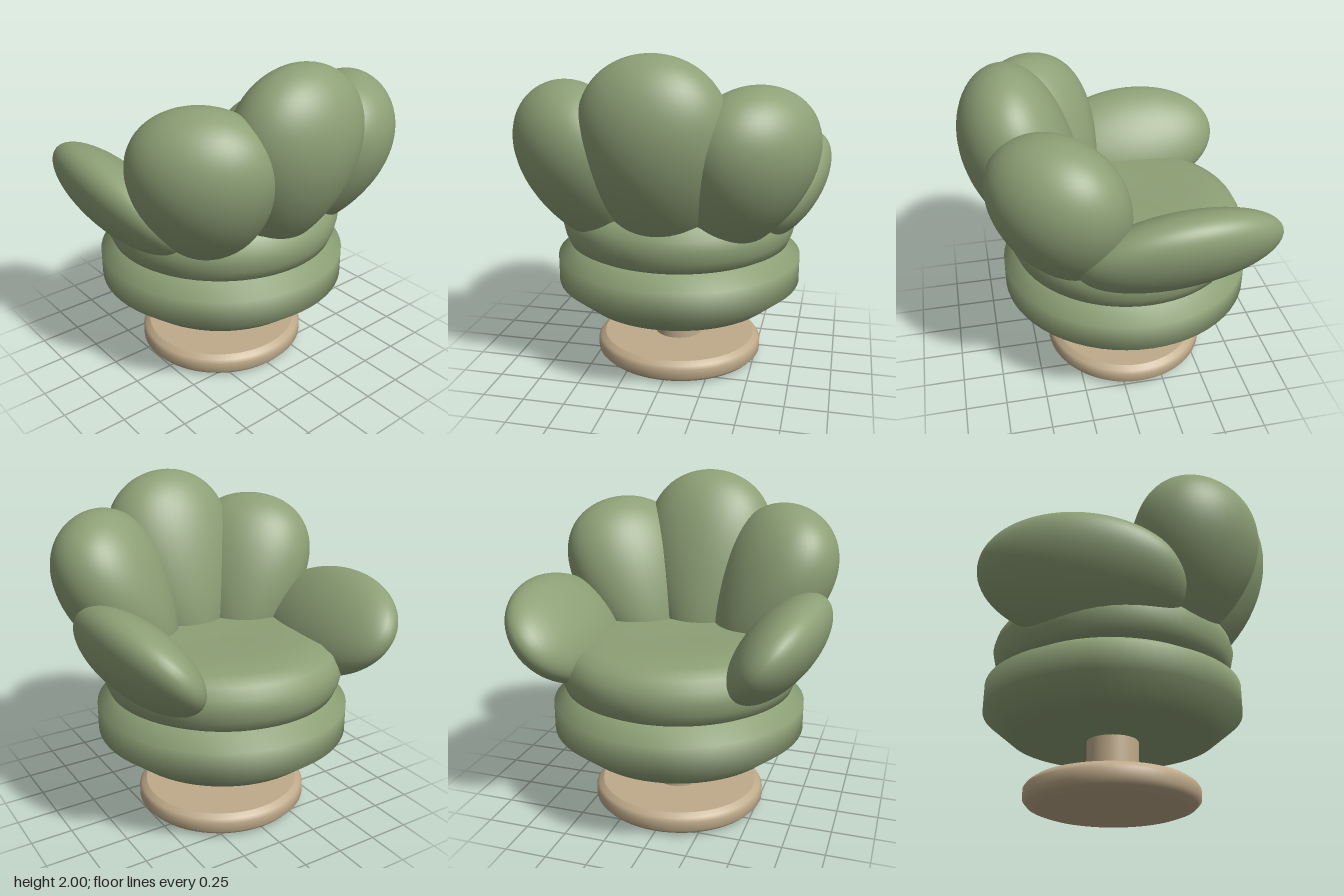
import * as THREE from 'three';
import { mergeVertices } from 'three/addons/utils/BufferGeometryUtils.js';

const fabric = new THREE.MeshStandardMaterial({ color: 0x8da076 });
fabric.name = 'sage green fabric';
const wood = new THREE.MeshStandardMaterial({ color: 0xbfaa8a });
wood.name = 'pale wood';

const CENTER_Z = -0.1; // axis of the round seat and base

function add(parent, name, geometry, material) {
  const mesh = new THREE.Mesh(geometry, material);
  mesh.name = name;
  parent.add(mesh);
  return mesh;
}

// Round part; each profile is its own smooth surface, so joins stay crisp
function turned(parent, name, profiles, material) {
  const group = new THREE.Group();
  group.name = name;
  group.position.z = CENTER_Z;
  for (const profile of profiles) {
    const points = profile.map(([r, y]) => new THREE.Vector2(r, y));
    add(group, name + 'Surface', new THREE.LatheGeometry(points, 64), material);
  }
  parent.add(group);
  return group;
}

// Egg-shaped cushion, wider towards the top, leaning and bowing outwards
function petalGeometry({ midY, halfY, width, depth, reach, lean, bow }) {
  let g = new THREE.SphereGeometry(1, 48, 40);
  g.deleteAttribute('uv');
  g.deleteAttribute('normal');
  g = mergeVertices(g);
  const p = g.attributes.position;
  for (let i = 0; i < p.count; i++) {
    const t = p.getY(i);
    p.setXYZ(
      i,
      p.getX(i) * width * (1 + 0.3 * t),
      midY + halfY * t,
      p.getZ(i) * depth * (1 + 0.08 * t) + reach + lean * t + bow * (1 - t * t)
    );
  }
  g.computeVertexNormals();
  return g;
}

export function createModel() {
  const model = new THREE.Group();
  model.name = 'petalArmchair';

  // Pedestal
  const foot = turned(model, 'foot', [
    [[0, 0], [0.455, 0]],
    [[0.455, 0], [0.505, 0.018], [0.53, 0.045], [0.53, 0.1], [0.515, 0.122], [0.485, 0.143]],
    [[0.485, 0.143], [0, 0.143]],
  ], wood);
  foot.scale.z = 0.96;
  turned(model, 'column', [[[0.153, 0.13], [0.153, 0.42]]], wood);

  // Round seat base
  turned(model, 'seatBase', [
    [[0, 0.397], [0.3, 0.401], [0.61, 0.412], [0.765, 0.54], [0.765, 0.705], [0.64, 0.778]],
    [[0.64, 0.778], [0, 0.778]],
  ], fabric);

  // Domed seat cushion
  turned(model, 'seatCushion', [[
    [0.6, 0.77], [0.65, 0.778], [0.69, 0.8], [0.715, 0.86], [0.73, 0.93], [0.715, 0.99],
    [0.68, 1.05], [0.6, 1.09], [0.45, 1.105], [0.25, 1.1], [0, 1.09],
  ]], fabric);

  // Tall middle petal of the backrest
  const middle = add(model, 'middleBackPetal', petalGeometry({
    midY: 1.4, halfY: 0.6, width: 0.405, depth: 0.33, reach: 0.52, lean: 0.16, bow: 0.08,
  }), fabric);
  middle.position.z = CENTER_Z;

  // Shorter petals and armrests on both sides
  const sideGeometry = petalGeometry({
    midY: 1.32, halfY: 0.51, width: 0.395, depth: 0.34, reach: 0.58, lean: 0.16, bow: 0.08,
  });
  const armGeometry = new THREE.SphereGeometry(1, 48, 40);
  armGeometry.scale(0.196, 0.36, 0.585);
  for (const [side, s] of [['left', 1], ['right', -1]]) {
    const petal = add(model, side + 'BackPetal', sideGeometry, fabric);
    petal.position.z = CENTER_Z;
    petal.rotation.y = s * 0.81;

    const arm = add(model, side + 'Armrest', armGeometry, fabric);
    arm.position.set(s * 0.652, 1.128, -0.267);
    arm.rotation.set(0.09, 0, -s * 0.66);
  }
  return model;
}
